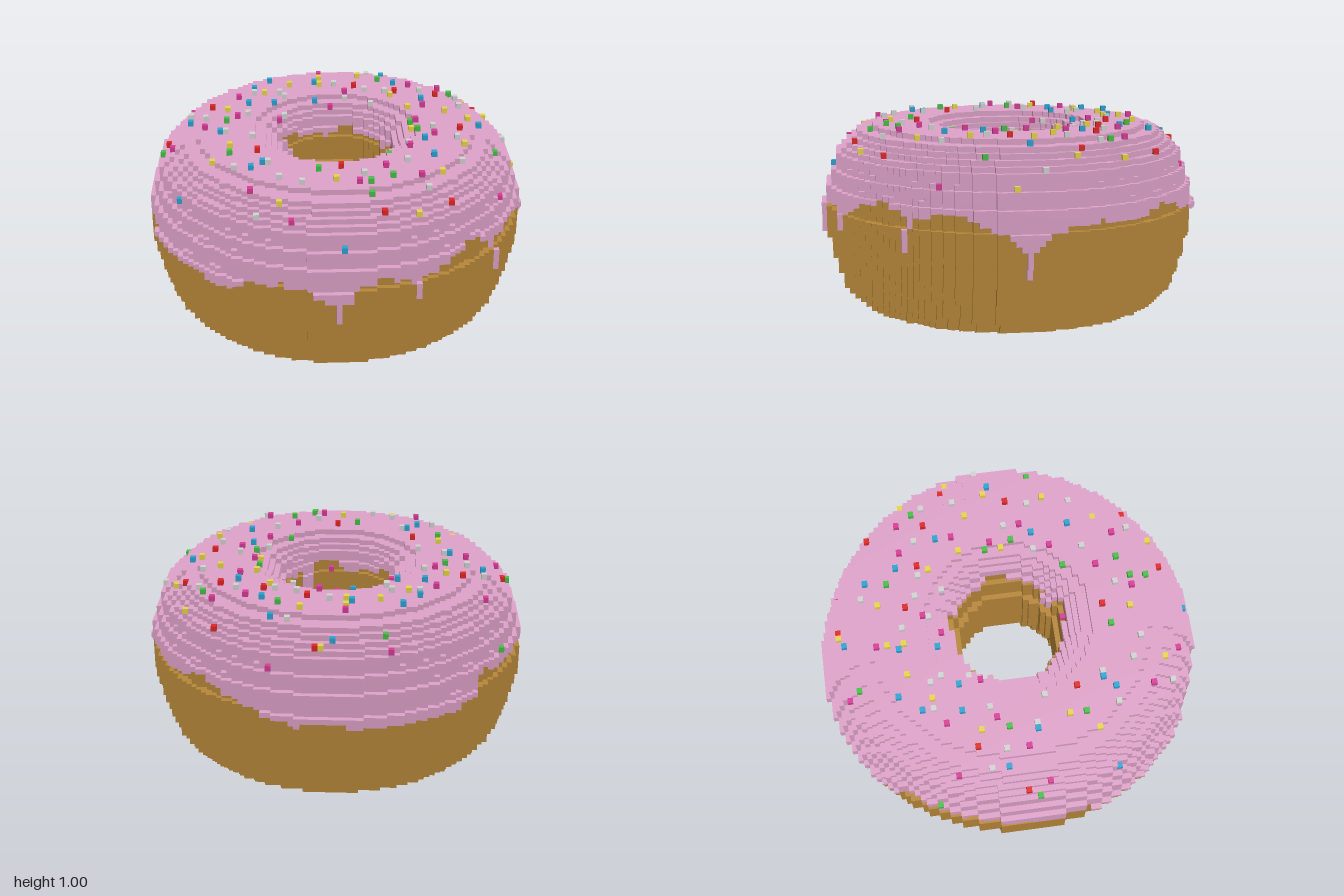
import * as THREE from 'three';

const N = 72, H = 36, S = 2 / N;      // grid cells across, cells high, cell size
const TOP = 34, RING = 22;            // dough layers and ring radius, in cells

// Outer and hole radius of the dough per layer, from the bottom up to the middle
const OUTER = [26, 29, 30, 31, 32, 32, 32, 33, 33, 33, 34, 34, 34, 34, 35, 35, 35];
const HOLE = [15, 13, 12, 12, 11, 11, 10, 10, 10, 10, 10, 9, 9, 9, 9, 9, 9];

// Lower edge of the icing on the outside: [degrees from front toward +x, height]
const EDGE = [
  [0, 0.48], [3, 0.51], [4, 0.56], [12, 0.61], [20, 0.58], [21.5, 0.56], [21.6, 0.48], [23.3, 0.48], [23.4, 0.56],
  [26, 0.58], [38, 0.65], [45, 0.66], [51, 0.62], [52.2, 0.57], [52.3, 0.44], [54, 0.44], [54.1, 0.6], [63, 0.64],
  [69, 0.65], [78, 0.57], [85, 0.53], [87, 0.47], [88.3, 0.45], [88.4, 0.34], [90, 0.34], [90.1, 0.45],
  [92, 0.48], [93, 0.53], [102, 0.58], [111, 0.6], [128, 0.57], [135, 0.65], [150, 0.58], [170, 0.51],
  [182, 0.53], [188, 0.49], [215, 0.49], [228, 0.54], [232, 0.65], [238, 0.6], [253, 0.63], [275, 0.55],
  [305, 0.53], [315, 0.52], [326, 0.5], [333, 0.56], [342, 0.57], [348, 0.56], [354, 0.53], [357, 0.5],
  [358.3, 0.48], [358.4, 0.4], [360, 0.4],
];

// Sprinkle cells, as pairs of column (x) and row (z)
const SPRINKLES = {
  blue: [0x2aa4d2, [35, 5, 46, 10, 23, 14, 32, 15, 48, 16, 20, 18, 32, 22, 53, 24, 24, 25, 19, 25, 8, 32, 63, 35,
    52, 42, 22, 51, 53, 49, 20, 53, 7, 52, 36, 69, 14, 38]],
  yellow: [0xe8d64b, [37, 4, 41, 12, 33, 13, 33, 16, 62, 18, 22, 20, 27, 16, 47, 22, 15, 28, 65, 27, 50, 28, 57, 30,
    42, 38, 61, 34, 69, 38, 50, 36, 16, 44, 59, 45, 13, 49, 35, 58, 54, 54, 25, 63, 49, 64]],
  green: [0x48bf48, [26, 7, 45, 14, 59, 20, 5, 19, 50, 33, 15, 33, 3, 37, 51, 38, 16, 47, 45, 47, 65, 43, 32, 54,
    41, 62, 45, 57, 41, 59]],
  red: [0xe02626, [38, 4, 56, 11, 40, 17, 48, 20, 56, 22, 63, 26, 12, 27, 4, 35, 59, 38, 21, 46, 36, 53, 55, 60, 43, 65]],
  magenta: [0xd83b97, [25, 5, 46, 4, 33, 11, 51, 17, 57, 17, 38, 20, 35, 23, 17, 22, 8, 23, 25, 29, 53, 27, 17, 31,
    11, 36, 5, 39, 51, 34, 54, 40, 49, 45, 37, 46, 65, 51, 44, 53, 39, 59, 20, 60, 27, 66, 50, 57]],
  grey: [0xd3d3d3, [43, 9, 36, 16, 25, 20, 20, 20, 38, 21, 42, 19, 26, 22, 43, 24, 46, 20, 53, 20, 60, 22, 19, 30,
    11, 32, 8, 29, 26, 27, 60, 28, 68, 33, 15, 38, 54, 37, 58, 42, 20, 40, 17, 53, 23, 51, 48, 51, 29, 59, 25, 57,
    40, 56, 21, 64, 51, 60, 49, 42, 58, 50]],
};

function outerEdge(deg) {
  const n = EDGE.findIndex(([a]) => a >= deg);
  if (n <= 0) return EDGE[0][1];
  const [a, ha] = EDGE[n - 1], [b, hb] = EDGE[n];
  return ha + (hb - ha) * (deg - a) / (b - a);
}

// Wavy edge inside the hole, with two drips
function innerEdge(deg) {
  const drip = Math.abs(deg - 35) < 6 ? 0.12 : Math.abs(deg - 247) < 6 ? 0.06 : 0;
  const t = THREE.MathUtils.degToRad(deg);
  return 0.81 + 0.02 * Math.sin(5 * t) + 0.01 * Math.sin(11 * t + 1) - drip;
}

const fromAxis = (i, k) => Math.hypot(i + 0.5 - N / 2, k + 0.5 - N / 2);

function inDough(i, j, k) {
  if (j < 0 || j >= TOP) return false;
  const rho = fromAxis(i, k), n = Math.min(j, TOP - 1 - j);
  return rho <= OUTER[n] && rho > HOLE[n] + 0.25;
}

// 1 = dough, 2 = icing (cells beside or on top of the dough), 0 = empty
function cellKind(i, j, k) {
  if (inDough(i, j, k)) return 1;
  const touches = inDough(i - 1, j, k) || inDough(i + 1, j, k) || inDough(i, j, k - 1) ||
    inDough(i, j, k + 1) || inDough(i, j - 1, k);
  if (!touches) return 0;
  const angle = Math.atan2(i + 0.5 - N / 2, k + 0.5 - N / 2);
  const deg = (THREE.MathUtils.radToDeg(angle) + 360) % 360;
  return (j + 0.5) * S > (fromAxis(i, k) > RING ? outerEdge(deg) : innerEdge(deg)) ? 2 : 0;
}

// Faces of all cells of one kind that touch empty space
function shellGeometry(cellAt, kind) {
  const pos = [], index = [];
  for (let i = 0; i < N; i++) for (let j = 0; j < H; j++) for (let k = 0; k < N; k++) {
    if (cellAt(i, j, k) !== kind) continue;
    for (let axis = 0; axis < 3; axis++) for (const side of [0, 1]) {
      const next = [i, j, k];
      next[axis] += side ? 1 : -1;
      if (cellAt(...next)) continue;
      const first = pos.length / 3;
      for (const [u, v] of [[0, 0], [1, 0], [1, 1], [0, 1]]) {
        const c = [i, j, k];
        c[axis] += side;
        c[(axis + 1) % 3] += u;
        c[(axis + 2) % 3] += v;
        pos.push(c[0] * S - 1, c[1] * S, c[2] * S - 1);
      }
      const order = side ? [0, 1, 2, 0, 2, 3] : [0, 2, 1, 0, 3, 2];
      index.push(...order.map((n) => first + n));
    }
  }
  const geo = new THREE.BufferGeometry();
  geo.setAttribute('position', new THREE.Float32BufferAttribute(pos, 3));
  geo.setIndex(index);
  geo.computeVertexNormals();
  return geo;
}

function material(name, color) {
  const m = new THREE.MeshStandardMaterial({ color });
  m.name = name;
  return m;
}

export function createModel() {
  const group = new THREE.Group();
  group.name = 'donut';

  const cells = new Uint8Array(N * H * N);
  const id = (i, j, k) => (i * H + j) * N + k;
  const cellAt = (i, j, k) =>
    (i < 0 || j < 0 || k < 0 || i >= N || j >= H || k >= N ? 0 : cells[id(i, j, k)]);
  for (let i = 0; i < N; i++) for (let j = 0; j < H; j++) for (let k = 0; k < N; k++) {
    cells[id(i, j, k)] = cellKind(i, j, k);
  }

  // Ring of dough and its icing
  [['dough', 0xb78739, 1], ['icing', 0xdea2c9, 2]].forEach(([name, color, kind]) => {
    const mesh = new THREE.Mesh(shellGeometry(cellAt, kind), material(name, color));
    mesh.name = name;
    group.add(mesh);
  });

  // Sprinkles: one cube on top of the icing in each listed column
  const cube = new THREE.BoxGeometry(S, S, S);
  for (const [name, [color, spots]] of Object.entries(SPRINKLES)) {
    const mat = material(name + 'Sprinkle', color);
    const set = new THREE.Group();
    set.name = name + 'Sprinkles';
    for (let n = 0; n < spots.length; n += 2) {
      const i = spots[n], k = spots[n + 1];
      let j = H - 1;
      while (j >= 0 && !cellAt(i, j, k)) j--;
      if (j < 0) continue;
      const mesh = new THREE.Mesh(cube, mat);
      mesh.name = 'sprinkle';
      mesh.position.set((i + 0.5) * S - 1, (j + 1.5) * S, (k + 0.5) * S - 1);
      set.add(mesh);
    }
    group.add(set);
  }
  return group;
}
